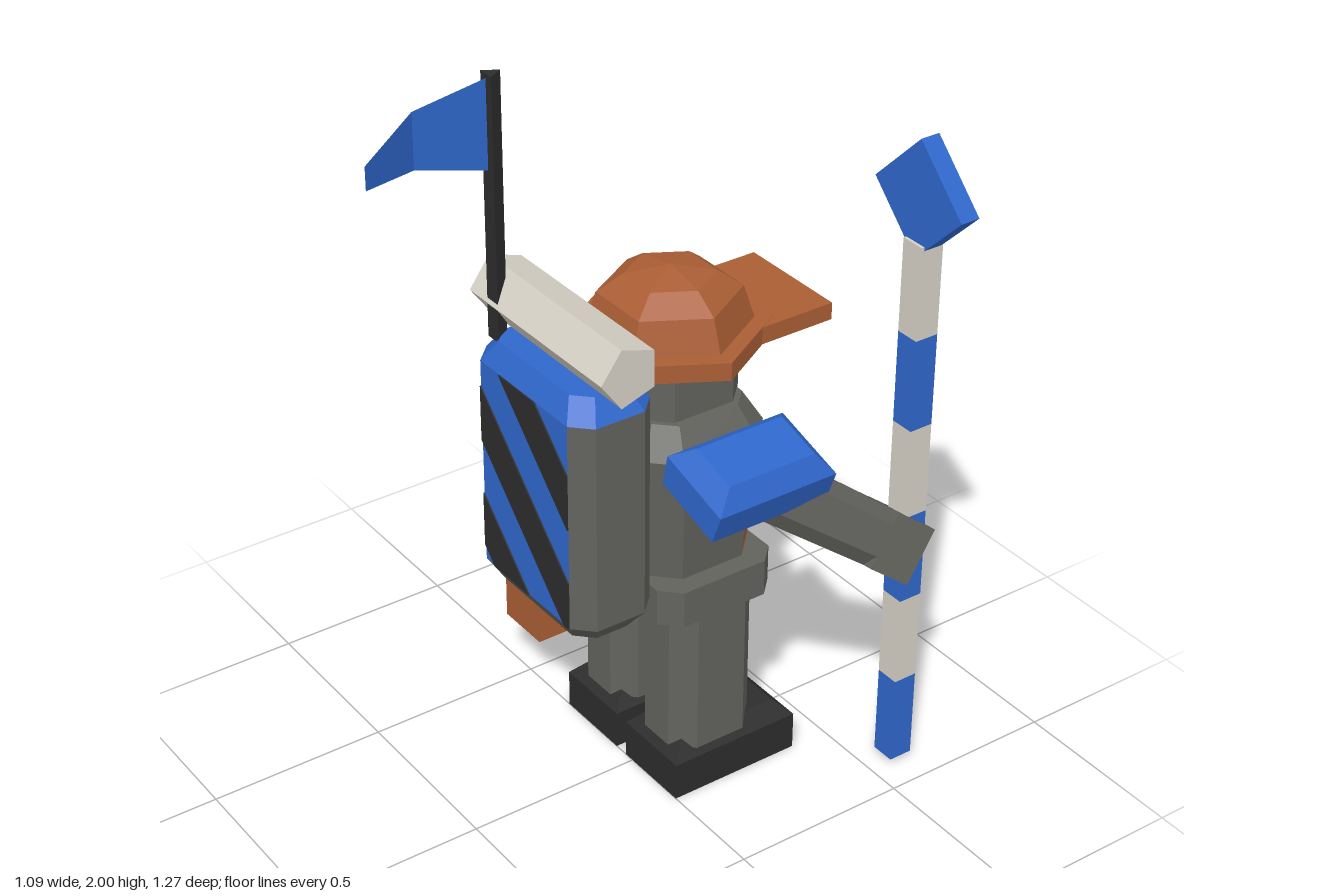
import * as THREE from 'three';

const paint = (name, color, extra = {}) => {
  const m = new THREE.MeshStandardMaterial({ color, flatShading: true, ...extra });
  m.name = name;
  return m;
};

// Outline of a rectangle with optionally chamfered corners
function ring(w, d, c) {
  if (!c) return [[w, d], [w, -d], [-w, -d], [-w, d]];
  return [[w, d - c], [w, c - d], [w - c, -d], [c - w, -d], [-w, c - d], [-w, d - c], [c - w, d], [w - c, d]];
}

// Faceted solid through levels [y, halfWidth, halfDepth, chamfer];
// pick(level, side) gives the material index, sides run +x, (chamfer), -z, ...
function loft(levels, pick = () => 0) {
  const geo = new THREE.BufferGeometry();
  const pos = [];
  const rings = levels.map(([y, w, d, c]) => ring(w, d, c).map(([x, z]) => [x, y, z]));
  const face = (pts, mat) => {
    const start = pos.length / 3;
    for (let i = 1; i < pts.length - 1; i++) pos.push(...pts[0], ...pts[i], ...pts[i + 1]);
    geo.addGroup(start, pos.length / 3 - start, mat);
  };
  const n = rings[0].length;
  for (let k = 0; k < rings.length - 1; k++) {
    for (let i = 0; i < n; i++) {
      const j = (i + 1) % n;
      face([rings[k][i], rings[k][j], rings[k + 1][j], rings[k + 1][i]], pick(k, i));
    }
  }
  face([...rings[0]].reverse(), pick(-1, 0));
  face(rings[rings.length - 1], pick(rings.length - 1, 0));
  geo.setAttribute('position', new THREE.Float32BufferAttribute(pos, 3));
  geo.computeVertexNormals();
  return geo;
}

// Keep the part of a polygon where f(point) >= 0
function clip(poly, f) {
  const out = [];
  poly.forEach((p, i) => {
    const q = poly[(i + 1) % poly.length];
    const a = f(p), b = f(q);
    if (a >= 0) out.push(p);
    if (a * b < 0) out.push(p.clone().lerp(q, a / (a - b)));
  });
  return out;
}

export function createModel() {
  const grey = paint('grey', 0x62625d);
  const black = paint('black', 0x2d2d2d);
  const blue = paint('blue', 0x2f67cb, { side: THREE.DoubleSide });
  const orange = paint('orange', 0xaa5e35);
  const cream = paint('cream', 0xd6d1c6);

  const root = new THREE.Group();
  const add = (name, geo, mat, x = 0, y = 0, z = 0, parent = root) => {
    const mesh = new THREE.Mesh(geo, mat);
    mesh.name = name;
    mesh.position.set(x, y, z);
    parent.add(mesh);
    return mesh;
  };
  const box = (x, y, z) => new THREE.BoxGeometry(x, y, z);
  const CX = -0.052, CZ = -0.15;

  // Boots, legs and shoulder pads, mirrored about the body
  for (const s of [1, -1]) {
    const side = s > 0 ? 'left' : 'right';
    add(side + 'Boot', loft([[0, 0.115, 0.195, 0], [0.11, 0.115, 0.195, 0], [0.155, 0.075, 0.15, 0]]),
      black, CX + s * 0.137, 0, -0.195);
    add(side + 'Leg', loft([[0.13, 0.108, 0.13, 0.055], [0.56, 0.108, 0.13, 0.055]]),
      grey, CX + s * 0.134, 0, CZ);
    const pad = add(side + 'ShoulderPad',
      loft([[-0.045, 0.108, 0.178, 0], [0.045, 0.115, 0.178, 0], [0.095, 0.07, 0.13, 0]]),
      blue, CX + s * 0.338, 1.005, CZ);
    pad.rotation.z = -s * 0.29;
  }

  // Hips and torso with a coloured chest
  add('hips', loft([[0.55, 0.25, 0.178, 0.05], [0.655, 0.25, 0.178, 0.05]]), grey, CX, 0, CZ);
  add('torso', loft([[0.65, 0.195, 0.163, 0.07], [1.02, 0.225, 0.183, 0.07], [1.1, 0.17, 0.14, 0.05]],
    (k, i) => (k === 0 && i >= 1 && i <= 3 ? 1 : 0)), [grey, orange], CX, 0, CZ);

  // Head and cap
  add('head', loft([[1.06, 0.15, 0.15, 0.06], [1.27, 0.15, 0.15, 0.06]]), grey, CX, 0, CZ);
  const brim = add('capBrim', new THREE.CylinderGeometry(0.26, 0.26, 0.05, 6), orange, CX, 1.27, CZ);
  brim.rotation.y = Math.PI / 6;
  const domeProfile = [[0.215, 1.29], [0.185, 1.385], [0.118, 1.432], [0, 1.455]];
  const dome = add('capDome', new THREE.LatheGeometry(domeProfile.map(p => new THREE.Vector2(...p)), 6),
    orange, CX, 0, CZ);
  dome.rotation.y = Math.PI / 6;
  add('capBill', box(0.327, 0.048, 0.36), orange, CX, 1.27, -0.358);

  // Arms: straight faceted sleeves with block hands
  const arm = (name, from, to) => {
    const a = new THREE.Vector3(...from);
    const dir = new THREE.Vector3(...to).sub(a);
    const len = dir.length();
    const g = new THREE.Group();
    g.name = name;
    g.position.copy(a);
    g.quaternion.setFromUnitVectors(new THREE.Vector3(0, -1, 0), dir.normalize());
    add(name + 'Sleeve', loft([[0.12 - len, 0.072, 0.08, 0.035], [0, 0.08, 0.085, 0.035]]), grey, 0, 0, 0, g);
    add(name + 'Hand', loft([[-len, 0.072, 0.08, 0], [0.13 - len, 0.072, 0.08, 0]]), grey, 0, 0, 0, g);
    root.add(g);
  };
  arm('leftArm', [0.27, 1.02, -0.13], [0.392, 0.68, -0.585]);
  arm('rightArm', [-0.375, 1.01, CZ], [-0.46, 0.47, CZ]);

  // Carried case
  add('case', loft([[0.18, 0.082, 0.192, 0], [0.34, 0.082, 0.192, 0], [0.375, 0.045, 0.15, 0]]),
    orange, -0.468, 0, CZ);
  add('caseHandle', box(0.06, 0.11, 0.16), black, -0.47, 0.42, CZ);

  // Backpack with blue lid and blue outer panel
  add('backpack', loft([[0.585, 0.2, 0.09, 0.045], [0.64, 0.242, 0.122, 0.05],
    [1.235, 0.242, 0.122, 0.05], [1.295, 0.2, 0.09, 0.045]],
    (k, i) => (k >= 2 || (k === 1 && i === 6) ? 1 : 0)), [grey, blue], CX, 0, 0.168);

  // Diagonal stripes clipped to the panel
  const L = CX - 0.192, R = CX + 0.192;
  const panel = [[L, 0.64], [R, 0.64], [R, 1.235], [L, 1.235]].map(p => new THREE.Vector2(...p));
  for (const low of [0.684, 1.003, 1.321]) {
    let poly = clip(panel, p => p.x - L + p.y - low);
    poly = clip(poly, p => low + 0.159 - (p.x - L + p.y));
    add('backpackStripe', new THREE.ExtrudeGeometry(new THREE.Shape(poly), { depth: 0.004, bevelEnabled: false }),
      black, 0, 0, 0.29);
  }

  // Bedroll strapped on top
  const roll = new THREE.CylinderGeometry(0.085, 0.085, 0.575, 5).rotateZ(Math.PI / 2);
  roll.computeBoundingBox();
  const bedroll = add('bedroll', roll, cream, CX, 1.38, 0.17);
  bedroll.name = 'bedroll';

  // Pennant on a three-sided pole
  const pole = add('flagPole', new THREE.CylinderGeometry(0.027, 0.027, 0.72, 3), black, -0.245, 1.64, 0.235);
  pole.rotation.y = Math.PI;
  const cols = [[-0.245, 0.24, 1.745, 1.99], [-0.268, 0.44, 1.793, 1.945], [-0.165, 0.63, 1.837, 1.9]];
  const flag = new THREE.BufferGeometry();
  flag.setAttribute('position', new THREE.Float32BufferAttribute(
    cols.flatMap(([x, z, lo, hi]) => [x, lo, z, x, hi, z]), 3));
  flag.setIndex([0, 2, 1, 1, 2, 3, 2, 4, 3, 3, 4, 5]);
  flag.computeVertexNormals();
  add('flag', flag, blue);

  // Banded staff with a diamond head
  for (let i = 0; i < 6; i++) {
    add('staffBand', box(0.068, 0.26, 0.068), i % 2 ? cream : blue, 0.385, 0.15 + i * 0.26, -0.588);
  }
  const diamond = add('staffHead', box(0.226, 0.226, 0.055), blue, 0.385, 1.695, -0.59);
  diamond.rotation.z = Math.PI / 4;

  return root;
}
